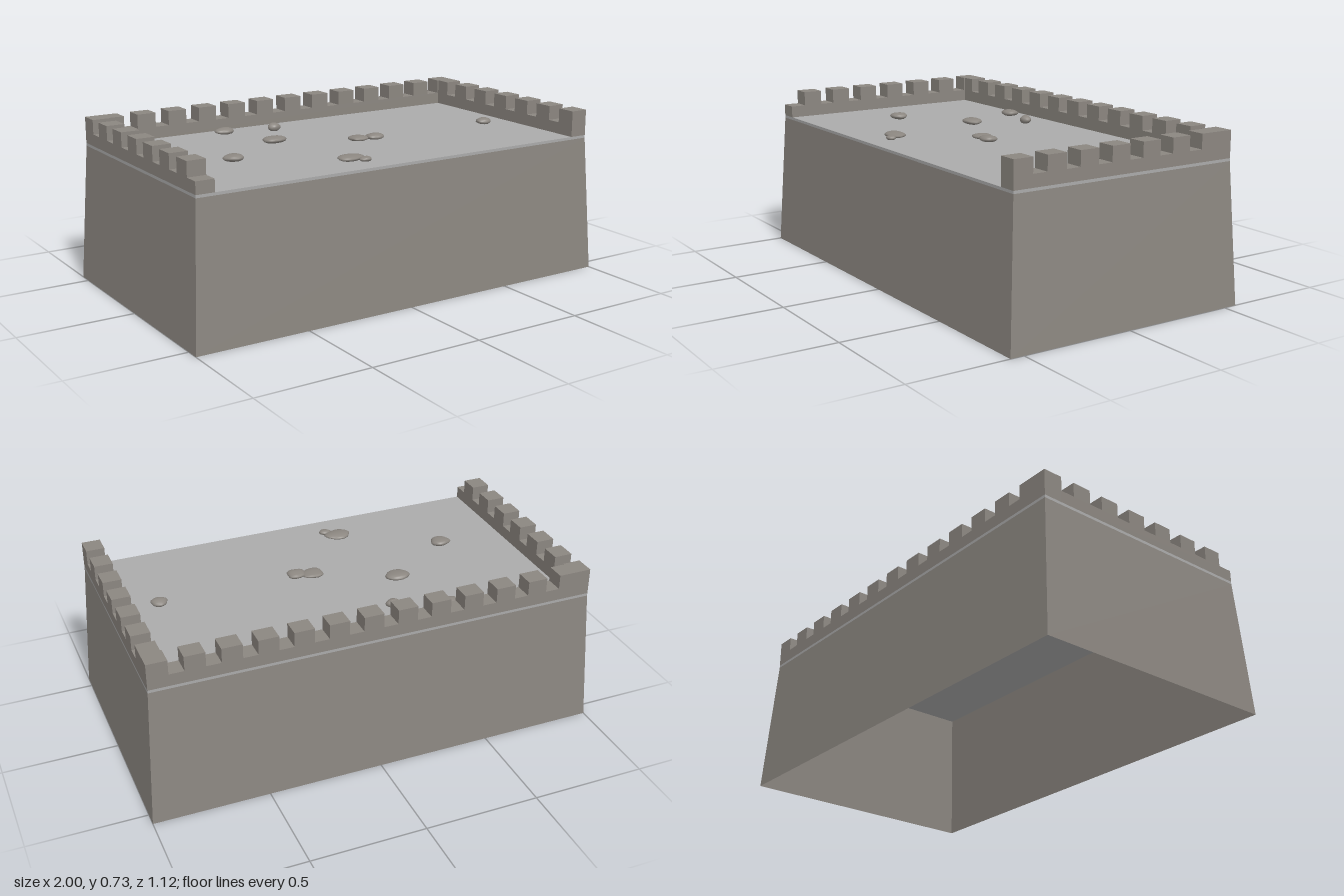
import * as THREE from 'three';
import { mergeVertices } from 'three/addons/utils/BufferGeometryUtils.js';

const HX = 0.965, HZ = 0.527;       // half size of the platform top
const Y_SKIRT = 0.603, Y_FLOOR = 0.615, Y_WALL = 0.667, Y_TOP = 0.73;
const THICK = 0.08, MERLON = 0.086;

export function createModel() {
  const stone = new THREE.MeshStandardMaterial({ color: 0x8b8680 });
  stone.name = 'stone';
  const innerStone = stone.clone();
  innerStone.side = THREE.DoubleSide;
  const paving = new THREE.MeshStandardMaterial({ color: 0xaaaaaa });
  paving.name = 'paving';

  const model = new THREE.Group();
  model.name = 'castlePlatform';

  const add = (name, geometry, material, parent = model) => {
    const mesh = new THREE.Mesh(geometry, material);
    mesh.name = name;
    parent.add(mesh);
    return mesh;
  };
  // Box given by its limits on each axis
  const block = (name, x0, x1, y0, y1, z0, z1, material, parent) =>
    add(name, new THREE.BoxGeometry(x1 - x0, y1 - y0, z1 - z0), material, parent)
      .position.set((x0 + x1) / 2, (y0 + y1) / 2, (z0 + z1) / 2);

  // Sloping outer walls, hollow and open underneath
  const skirt = new THREE.CylinderGeometry(1, 1, Y_SKIRT, 4, 1, true, Math.PI / 4).toNonIndexed();
  const p = skirt.attributes.position;
  for (let i = 0; i < p.count; i++) {
    const top = p.getY(i) > 0;
    p.setXYZ(i, Math.sign(p.getX(i)) * (top ? HX : 1), top ? Y_SKIRT : 0,
      Math.sign(p.getZ(i)) * (top ? HZ : 0.56));
  }
  skirt.computeVertexNormals();
  add('slopingWalls', skirt, innerStone);

  // Paved floor slab
  block('floor', -HX, HX, Y_SKIRT, Y_FLOOR, -HZ, HZ, paving);

  // Parapets on three sides, with merlons at an even pitch
  const parapet = (name) => {
    const group = new THREE.Group();
    group.name = name;
    model.add(group);
    return group;
  };

  const back = parapet('backParapet');
  block('parapetWall', -HX, HX, Y_FLOOR, Y_WALL, -HZ, -HZ + THICK, stone, back);
  for (let i = 0; i < 13; i++) {
    const x = HX - i * 0.1487;
    block('merlon', x - MERLON, x, Y_WALL, Y_TOP, -HZ, -HZ + THICK, stone, back);
  }

  // The left row starts at the front, the right row at the back
  for (const side of [1, -1]) {
    const group = parapet(side > 0 ? 'leftParapet' : 'rightParapet');
    const x0 = side > 0 ? HX - THICK : -HX;
    block('parapetWall', x0, x0 + THICK, Y_FLOOR, Y_WALL, -HZ + THICK, HZ, stone, group);
    for (let i = 0; i < 7; i++) {
      const a = side * (HZ - i * 0.15), b = a - side * MERLON;
      block('merlon', x0, x0 + THICK, Y_WALL, Y_TOP, Math.min(a, b), Math.max(a, b), stone, group);
    }
  }

  // Loose rocks: x, z, half width, half depth, top height
  const rocks = [
    [-0.375, -0.375, 0.045, 0.036, 0.642],
    [-0.15, -0.312, 0.032, 0.025, 0.65],
    [-0.272, -0.095, 0.05, 0.045, 0.643],
    [-0.588, 0.117, 0.048, 0.037, 0.643],
    [0.062, 0.065, 0.048, 0.04, 0.636],
    [0.13, 0.083, 0.039, 0.037, 0.642],
    [0.748, 0.078, 0.039, 0.031, 0.642],
    [-0.178, 0.362, 0.057, 0.045, 0.638],
    [-0.137, 0.41, 0.026, 0.022, 0.634],
  ];
  rocks.forEach(([x, z, rx, rz, top], n) => {
    let rock = new THREE.IcosahedronGeometry(1, 2);
    rock.deleteAttribute('normal');
    rock.deleteAttribute('uv');
    rock = mergeVertices(rock, 1e-3);
    const q = rock.attributes.position, v = new THREE.Vector3();
    for (let i = 0; i < q.count; i++) {
      v.fromBufferAttribute(q, i);
      const lump = 0.07 * Math.sin(3.1 * v.x + n * 2.3) + 0.06 * Math.sin(4.3 * v.z + 2 * v.y + n);
      v.multiplyScalar(1 + lump);
      q.setXYZ(i, v.x, v.y, v.z);
    }
    const ry = (top - 0.612) / 2;
    rock.scale(rx, ry, rz);
    rock.computeVertexNormals();
    add('rock', rock, stone).position.set(x, 0.612 + ry, z);
  });

  return model;
}
